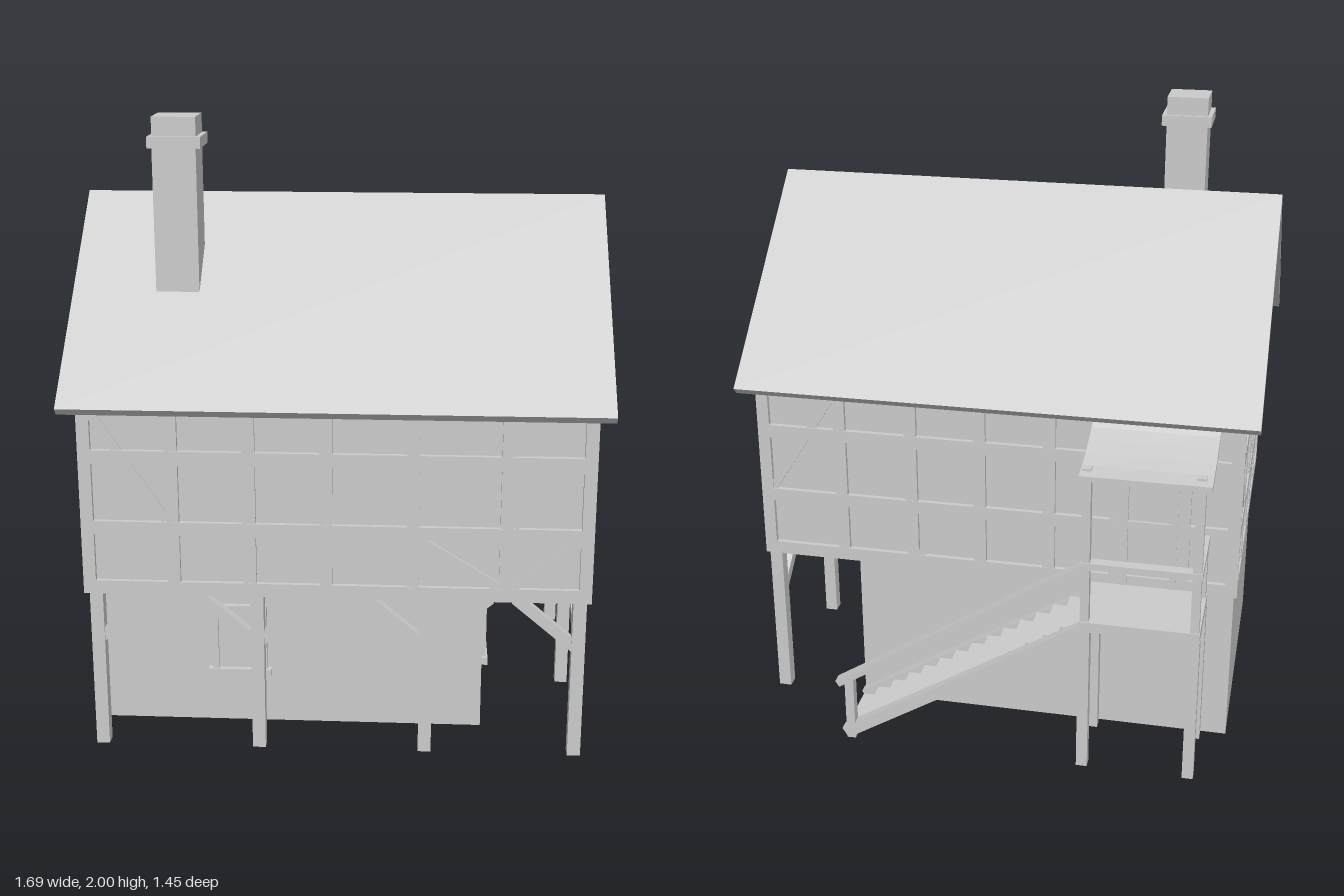
import * as THREE from 'three';

const mat = new THREE.MeshStandardMaterial({ color: 0xcccccc, flatShading: true });
const RIDGE_Z = 0.105, SLOPE = 0.917;
const underRoof = z => 1.69 - SLOPE * Math.abs(z - RIDGE_Z);

function add(parent, name, geo) {
  const m = new THREE.Mesh(geo, mat);
  m.name = name;
  parent.add(m);
  return m;
}

function group(parent, name) {
  const g = new THREE.Group();
  g.name = name;
  parent.add(g);
  return g;
}

// Box given by its limits on each axis
function box(parent, name, x0, x1, y0, y1, z0, z1) {
  const m = add(parent, name, new THREE.BoxGeometry(x1 - x0, y1 - y0, z1 - z0));
  m.position.set((x0 + x1) / 2, (y0 + y1) / 2, (z0 + z1) / 2);
  return m;
}

// Slanted bar in the local xy plane, centred at depth z
function bar(parent, name, x0, y0, x1, y1, width, depth, z) {
  const m = add(parent, name, new THREE.BoxGeometry(Math.hypot(x1 - x0, y1 - y0), width, depth));
  m.position.set((x0 + x1) / 2, (y0 + y1) / 2, z);
  m.rotation.z = Math.atan2(y1 - y0, x1 - x0);
  return m;
}

// Profile of [z, y] points extruded along x
function extrudeX(parent, name, pts, x0, x1) {
  const shape = new THREE.Shape(pts.map(([z, y]) => new THREE.Vector2(-z, y)));
  const geo = new THREE.ExtrudeGeometry(shape, { depth: x1 - x0, bevelEnabled: false });
  geo.rotateY(Math.PI / 2).translate(x0, 0, 0);
  return add(parent, name, geo);
}

// Group whose local +z points out of a wall
function wallFrame(parent, name, angle, x, z) {
  const g = group(parent, name);
  g.rotation.y = angle;
  g.position.set(x, 0, z);
  return g;
}

// Raised frame round an opening, with an optional sill
function opening(parent, name, u0, u1, y0, y1, sill) {
  const g = group(parent, name), w = 0.02, d = 0.018;
  box(g, 'jamb', u0, u0 + w, y0, y1, -0.01, d);
  box(g, 'jamb', u1 - w, u1, y0, y1, -0.01, d);
  box(g, 'lintel', u0 + w, u1 - w, y1 - w, y1, -0.01, d);
  box(g, 'panel', u0 + w, u1 - w, y0, y1 - w, -0.01, 0.006);
  if (sill) box(g, 'sill', u0 - 0.015, u1 + 0.015, y0 - 0.005, y0 + 0.02, -0.01, d + 0.006);
}

// Timber grid: studs, rails, then diagonals [u0, y0, u1, y1]
function timbers(g, studs, rails, diagonals, top) {
  const w = 0.04, half = Math.max(...studs.map(Math.abs));
  const lo = Math.min(...studs) - 0.018, hi = Math.max(...studs) + 0.018;
  studs.forEach(u => box(g, 'stud', u - w / 2, u + w / 2, 0.53, top(u), -0.01, half > 0.7 && Math.abs(u) === half ? 0.015 : 0.014));
  rails.forEach(y => box(g, 'rail', lo, hi, y - 0.022, y + 0.022, -0.01, 0.015));
  diagonals.forEach(d => bar(g, 'diagonalBrace', ...d, 0.028, 0.02, 0.002));
}

function createModel() {
  const house = new THREE.Group();
  house.name = 'timberHouse';

  // Ground floor with windows and door
  const ground = group(house, 'groundFloor');
  box(ground, 'groundWalls', -0.79, 0.47, 0, 0.54, -0.43, 0.46);
  opening(wallFrame(ground, 'frontOpenings', 0, 0, 0.46), 'frontWindow', -0.42, -0.24, 0.175, 0.42, true);
  const side = wallFrame(ground, 'sideOpenings', Math.PI / 2, 0.47, 0);
  opening(side, 'sideWindow', -0.35, -0.165, 0.18, 0.42, true);
  opening(side, 'sideDoor', 0.04, 0.29, 0, 0.42, false);

  // Overhanging upper floor with gables
  extrudeX(house, 'upperWalls', [
    [0.635, 0.53], [0.635, underRoof(0.635)], [RIDGE_Z, 1.685],
    [-0.425, underRoof(-0.425)], [-0.425, 0.53],
  ], -0.785, 0.785);

  // Gable framing on both ends
  const studZ = [0.63, 0.39, 0.18, 0.01, -0.23, -0.42];
  for (const s of [1, -1]) {
    const g = wallFrame(house, s > 0 ? 'leftGable' : 'rightGable', s * Math.PI / 2, s * 0.785, 0);
    const u = z => -s * z;
    const diagonals = s > 0
      ? [[u(0.37), 0.575, u(0.2), 0.73], [u(0.37), 0.73, u(0.2), 0.575]]
      : [[u(0.37), 1.4, u(0.2), 1.03], [u(-0.21), 1.03, u(-0.01), 1.4], [u(0.61), 1.18, u(0.41), 1.03],
        [u(-0.4), 0.99, u(-0.25), 0.77], [u(0.61), 0.99, u(0.41), 0.77], [u(0.37), 0.73, u(0.2), 0.575]];
    timbers(g, studZ.map(u), [0.552, 0.752, 1.008], diagonals,
      v => Math.min(underRoof(-s * v - 0.02), underRoof(-s * v + 0.02)));
    for (const z of [0.65, -0.44]) {
      bar(g, 'rafter', u(z), underRoof(z) - 0.028, u(RIDGE_Z), 1.662, 0.05, 0.025, 0.0005);
    }
  }

  // Framing of the long walls
  const front = wallFrame(house, 'frontFraming', 0, 0, 0.635);
  timbers(front, [-0.78, -0.51, -0.27, -0.03, 0.24, 0.53, 0.78], [0.552, 0.752, 0.985], [
    [-0.76, 1.13, -0.53, 0.78], [0.26, 0.73, 0.51, 0.575], [0.55, 0.575, 0.76, 0.73], [0.55, 0.78, 0.76, 0.97],
  ], () => 1.18);
  const back = wallFrame(house, 'backFraming', Math.PI, 0, -0.425);
  timbers(back, [-0.78, -0.52, -0.28, -0.05, 0.18, 0.4, 0.62, 0.78], [0.552, 0.752, 0.985], [
    [-0.76, 0.78, -0.54, 1.13], [-0.26, 0.575, -0.07, 0.73],
  ], () => 1.18);
  opening(back, 'landingDoor', 0.42, 0.6, 0.54, 0.97, false);

  // Roof slab
  extrudeX(house, 'roof', [
    [RIDGE_Z, 1.73], [0.725, 1.16], [0.707, 1.138], [RIDGE_Z, 1.69], [-0.497, 1.138], [-0.517, 1.16],
  ], -0.845, 0.842);

  // Chimney with collar
  const chimney = group(house, 'chimney');
  box(chimney, 'stack', -0.58, -0.443, 1.4, 1.92, 0.265, 0.403);
  box(chimney, 'collar', -0.594, -0.428, 1.905, 1.94, 0.25, 0.41);
  box(chimney, 'chimneyTop', -0.58, -0.443, 1.93, 2, 0.262, 0.396);

  // Posts under the overhang, with knee braces
  const posts = group(house, 'overhangPosts');
  const frontX = [-0.762, -0.25, 0.285, 0.765], sideZ = [0.625, 0.107, -0.42], h = 0.021;
  const post = (x, z) => box(posts, 'post', x - h, x + h, 0, 0.535, z - h, z + h);
  frontX.forEach(x => post(x, 0.625));
  sideZ.slice(1).forEach(z => post(0.765, z));
  const kneeBraces = (frame, list) => list.forEach((p, i) => {
    for (const s of [-1, 1]) {
      if ((i === 0 && s < 0) || (i === list.length - 1 && s > 0)) continue;
      bar(frame, 'kneeBrace', p + s * 0.01, 0.375, p + s * 0.2, 0.535, 0.035, 0.032, 0);
    }
  });
  kneeBraces(wallFrame(posts, 'frontBraces', 0, 0, 0.625), frontX);
  kneeBraces(wallFrame(posts, 'sideBraces', Math.PI / 2, 0.765, 0), sideZ.map(z => -z));

  // Landing on four posts, two of which carry the porch roof
  const landing = group(house, 'landing');
  box(landing, 'deck', -0.705, -0.325, 0.505, 0.54, -0.7, -0.43);
  for (const x of [-0.688, -0.342]) {
    for (const z of [-0.682, -0.46]) {
      box(landing, 'landingPost', x - 0.018, x + 0.018, 0, 0.51, z - 0.018, z + 0.018);
    }
    box(landing, 'porchPost', x - 0.014, x + 0.014, 0.53, 1.07, -0.696, -0.668);
  }
  box(landing, 'railPost', -0.702, -0.674, 0.53, 0.74, -0.475, -0.445);
  box(landing, 'backRail', -0.705, -0.325, 0.728, 0.75, -0.7, -0.664);
  box(landing, 'sideRail', -0.705, -0.671, 0.728, 0.75, -0.664, -0.43);

  // Sagging porch roof
  const curve = [[-0.43, 1.145], [-0.48, 1.112], [-0.53, 1.094], [-0.6, 1.076], [-0.66, 1.066], [-0.728, 1.06]];
  extrudeX(house, 'porchRoof', [...curve, ...curve.map(([z, y]) => [z, y - 0.018]).reverse()], -0.722, -0.322);

  // Stair flight: treads, stringers and handrail
  const stairs = group(house, 'stairs');
  const steps = 14, run = 0.78, rise = 0.51;
  for (let i = 0; i < steps; i++) {
    const x = -0.32 + i * run / steps, y = rise - (i + 0.4) * rise / steps;
    box(stairs, 'tread', x, x + 0.06, y - 0.014, y, -0.668, -0.472);
  }
  for (const z of [-0.457, -0.682]) bar(stairs, 'stringer', -0.335, 0.505, 0.46, 0.015, 0.04, 0.034, z);
  bar(stairs, 'handrail', -0.34, 0.735, 0.478, 0.21, 0.024, 0.036, -0.688);
  box(stairs, 'newelPost', 0.425, 0.455, 0, 0.225, -0.699, -0.667);

  return house;
}

export { createModel };
